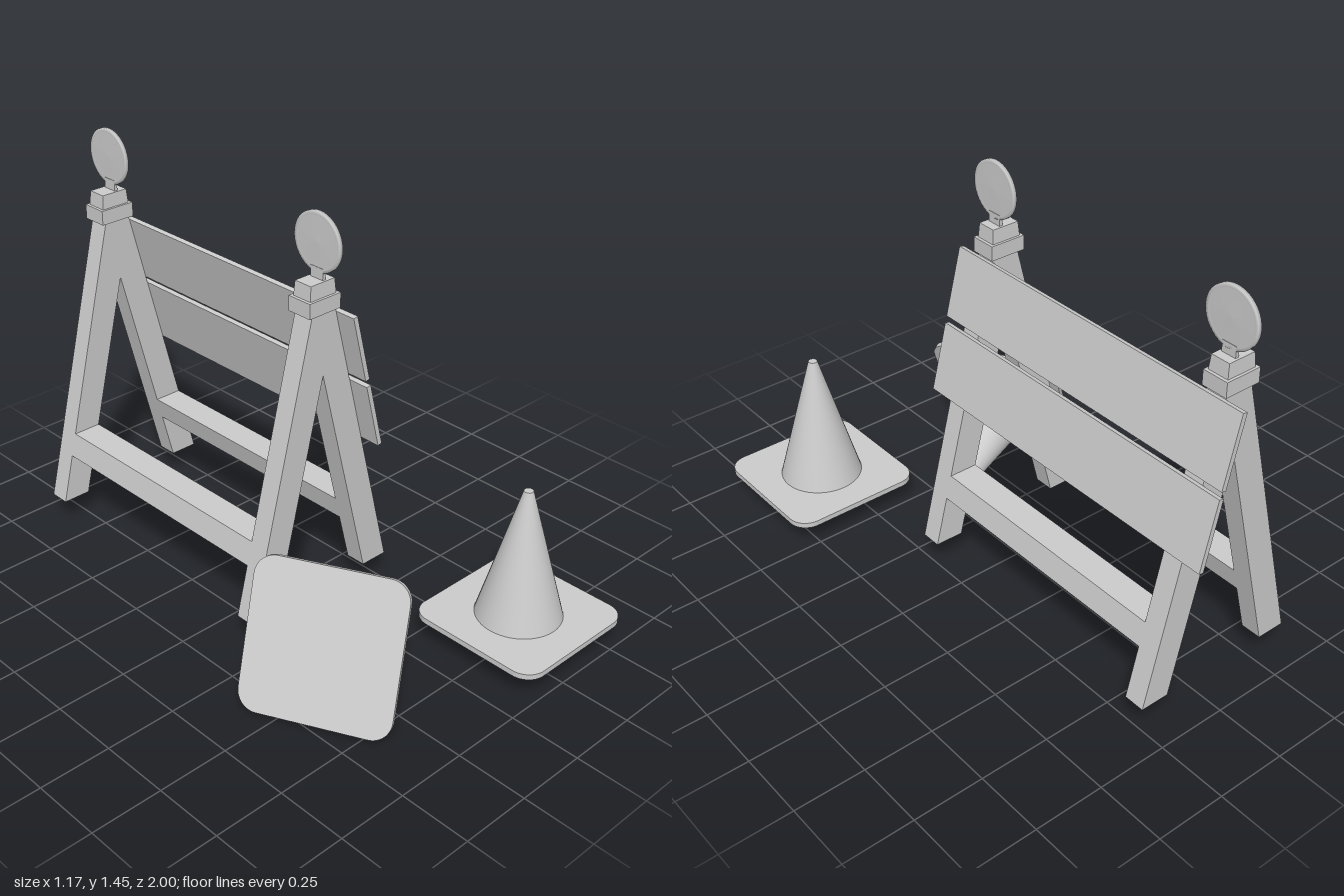
import * as THREE from 'three';

const material = new THREE.MeshStandardMaterial({ color: 0xcccccc });

// The A-frame is symmetric about MID; these give a leg's edges at height y
const MID = -0.05;
const SLOPE = 0.252;
const FOOT_Y = 0.1;
const outer = (y) => 0.31 - SLOPE * (y - FOOT_Y);
const inner = (y) => 0.205 - SLOPE * (y - FOOT_Y);
const FRAME_Z = [0.157, -0.878];
const FRAME_DEPTH = 0.075;

function add(parent, name, geometry, x = 0, y = 0, z = 0) {
  const mesh = new THREE.Mesh(geometry, material);
  mesh.name = name;
  mesh.position.set(x, y, z);
  parent.add(mesh);
  return mesh;
}

// Straight bar along z with the given outline in x, y
function prism(points, depth) {
  const shape = new THREE.Shape(points.map(([x, y]) => new THREE.Vector2(x, y)));
  return new THREE.ExtrudeGeometry(shape, { depth, bevelEnabled: false });
}

// Box whose top is narrower than its bottom
function taperedBox(w, h, d, taper) {
  const geometry = new THREE.BoxGeometry(w, h, d);
  const p = geometry.attributes.position;
  for (let i = 0; i < p.count; i++) {
    if (p.getY(i) > 0) p.setXYZ(i, p.getX(i) * taper, p.getY(i), p.getZ(i) * taper);
  }
  geometry.computeVertexNormals();
  return geometry;
}

// A-shaped end frame
function frameGeometry() {
  const top = 1.135;
  const apex = FOOT_Y + 0.205 / SLOPE;
  const right = [[0, apex], [inner(FOOT_Y), FOOT_Y], [outer(FOOT_Y), FOOT_Y], [outer(top), top]];
  const left = right.slice(1).reverse().map(([x, y]) => [-x, y]);
  return prism([...right, ...left], FRAME_DEPTH);
}

// Warning lamp: stepped cap, neck and thin round lens
function createLamp() {
  const lamp = new THREE.Group();
  lamp.name = 'warningLamp';
  add(lamp, 'lampCollar', new THREE.BoxGeometry(0.132, 0.052, 0.094), -0.003, 1.159);
  add(lamp, 'lampCap', taperedBox(0.11, 0.05, 0.076, 0.92), -0.003, 1.21);
  add(lamp, 'lampNeck', new THREE.BoxGeometry(0.012, 0.045, 0.054), 0.01, 1.25);
  const profile = [[0, -0.007], [0.086, -0.0045], [0.088, -0.006], [0.1, -0.006],
    [0.1, 0.006], [0.088, 0.006], [0.086, 0.0045], [0, 0.007]];
  const lens = new THREE.LatheGeometry(profile.map(([r, y]) => new THREE.Vector2(r, y)), 40);
  add(lamp, 'lampLens', lens.rotateZ(Math.PI / 2), 0.01, 1.354);
  return lamp;
}

function createBarricade() {
  const group = new THREE.Group();
  group.name = 'barricade';
  group.position.x = MID;

  for (const z of FRAME_Z) {
    add(group, 'endFrame', frameGeometry(), 0, 0, z - FRAME_DEPTH / 2);
    const lamp = createLamp();
    lamp.position.z = z;
    group.add(lamp);
  }

  // Lower cross bars follow the slope of the legs
  const zBack = FRAME_Z[1] + FRAME_DEPTH / 2;
  const barLength = FRAME_Z[0] - FRAME_DEPTH / 2 - zBack;
  const [b0, b1] = [0.28, 0.364];
  for (const side of [1, -1]) {
    const section = [[inner(b0), b0], [outer(b0), b0], [outer(b1), b1], [inner(b1), b1]];
    add(group, 'crossBar', prism(section.map(([x, y]) => [side * x, y]), barLength), 0, 0, zBack);
  }

  // Two sign boards lying on the sloping legs
  for (const [y0, y1] of [[0.62, 0.857], [0.881, 1.121]]) {
    const section = [[outer(y0), y0], [outer(y0) + 0.017, y0 + 0.004],
      [outer(y1) + 0.017, y1 + 0.004], [outer(y1), y1]];
    add(group, 'signBoard', prism(section, 1.27), 0, 0, -0.998);
  }
  return group;
}

// Traffic cone with its origin at the centre of the base plate
function createCone(name) {
  const cone = new THREE.Group();
  cone.name = name;
  const h = 0.2525, r = 0.07, t = 0.02;
  const s = new THREE.Shape();
  s.moveTo(-h + r, -h);
  s.absarc(h - r, -h + r, r, -Math.PI / 2, 0);
  s.absarc(h - r, h - r, r, 0, Math.PI / 2);
  s.absarc(-h + r, h - r, r, Math.PI / 2, Math.PI);
  s.absarc(-h + r, -h + r, r, Math.PI, Math.PI * 1.5);
  const plate = new THREE.ExtrudeGeometry(s, { depth: t, bevelEnabled: false, curveSegments: 8 });
  add(cone, 'conePlate', plate.rotateX(-Math.PI / 2), 0, -t / 2);
  add(cone, 'coneBody', new THREE.CylinderGeometry(0.016, 0.147, 0.473, 48), 0, t / 2 + 0.2365);
  return cone;
}

export function createModel() {
  const model = new THREE.Group();
  model.name = 'roadworksSet';
  model.add(createBarricade());

  const standing = createCone('standingCone');
  standing.position.set(0.327, 0.095, 0.745);
  model.add(standing);

  // Fallen cone rests on one plate edge and its tip
  const fallen = createCone('fallenCone');
  const axis = new THREE.Vector3(0.82, -0.4, -0.41).normalize();
  const edge = new THREE.Vector3(0.447, 0, 0.894).normalize();
  const down = new THREE.Vector3().crossVectors(axis, edge).normalize();
  edge.crossVectors(down, axis);
  fallen.quaternion.setFromRotationMatrix(new THREE.Matrix4().makeBasis(down, axis, edge));
  fallen.position.set(-0.392, 0.237, 0.556);
  model.add(fallen);
  return model;
}
